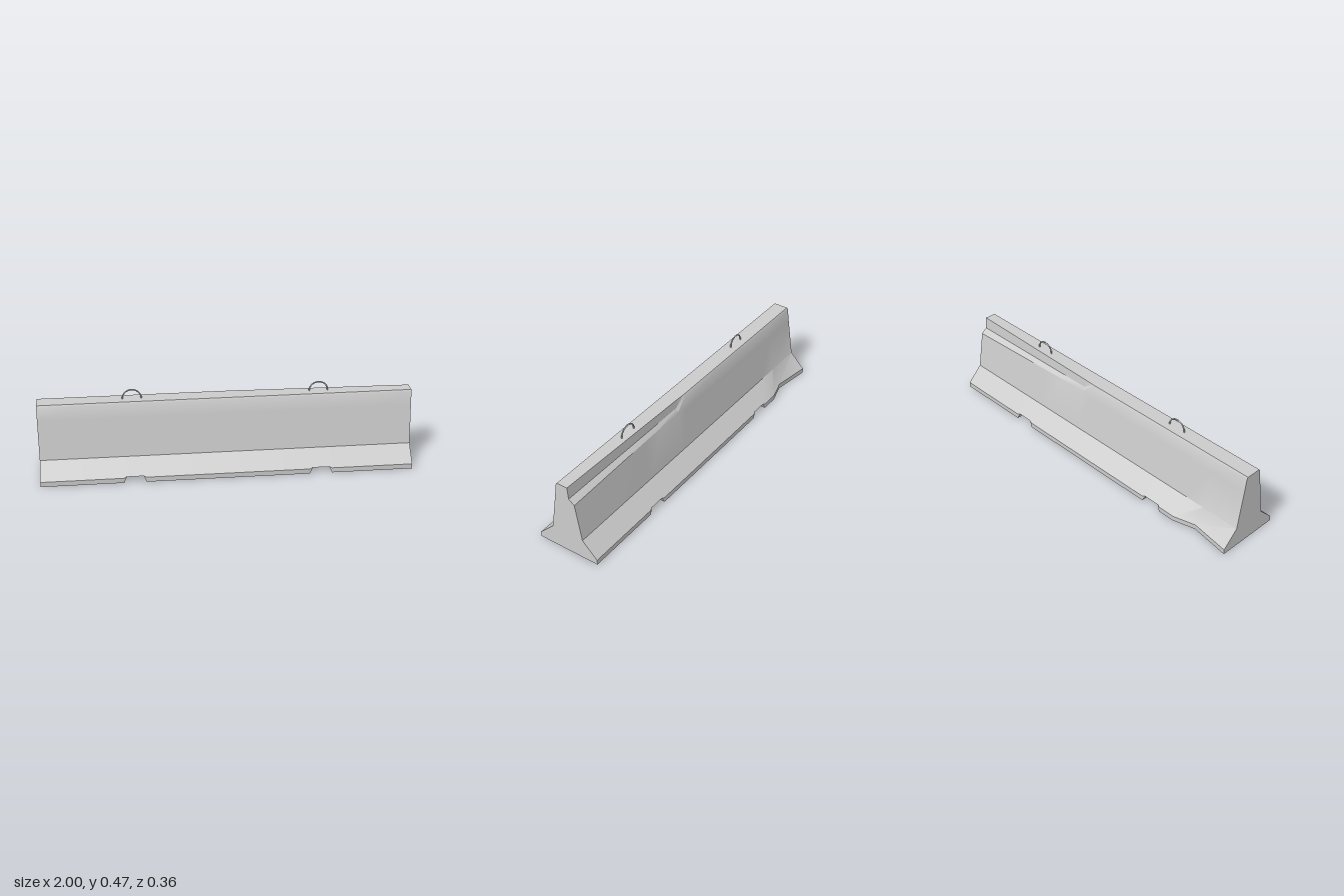
import * as THREE from 'three';
import { toCreasedNormals } from 'three/addons/utils/BufferGeometryUtils.js';

// Piecewise-linear lookup through [x, value] pairs
function along(pairs, x) {
  if (x <= pairs[0][0]) return pairs[0][1];
  for (let i = 1; i < pairs.length; i++) {
    const [x0, a] = pairs[i - 1], [x1, b] = pairs[i];
    if (x <= x1) return a + (b - a) * (x - x0) / (x1 - x0);
  }
  return pairs[pairs.length - 1][1];
}

// Underside height: two slots run across the base
const SLOT = 0.033;
const underside = x => along([[0.44, 0], [0.455, SLOT], [0.545, SLOT], [0.56, 0]], Math.abs(x));

// Broken foot on the back, and broken top edge on the back
const footZ = x => along([[-1, 0.178], [-0.78, 0.145], [-0.66, 0.178]], x);
const chip = (x, whole, start, end) => along([[0.07, whole], [0.14, start], [1, end]], x);

// Cross-section as [z, y]: up the front, then down the back
function section(x) {
  const y = underside(x);
  const cut = y > 0.028;
  const foot = z => cut ? [[z - 0.005, y], [z - 0.006, y + 0.001]] : [[z, y], [z, 0.028]];
  const front = [...foot(0.178), [0.093, 0.113], [0.0594, 0.325], [0.0485, 0.4], [0.042, 0.411]];
  const back = [
    ...foot(footZ(x)), [0.093, 0.113],
    [chip(x, 0.0594, 0.0565, 0.058), chip(x, 0.325, 0.345, 0.32)],
    [chip(x, 0.0485, 0.043, 0.026), chip(x, 0.4, 0.365, 0.345)],
    [chip(x, 0.042, 0.039, 0.02), 0.411],
  ].map(([z, h]) => [-z, h]);
  return [...front, ...back.reverse()];
}

function barrierGeometry() {
  const stations = [-1, -0.78, -0.66, -0.56, -0.545, -0.455, -0.44, -0.2, 0.07, 0.14, 0.3,
    0.44, 0.455, 0.545, 0.56, 0.8, 1];
  const rings = stations.map(x => section(x).map(([z, y]) => [x, y, z]));
  const n = rings[0].length;
  const pos = [];
  const quad = (a, b, c, d) => pos.push(...a, ...b, ...c, ...a, ...c, ...d);

  // Skin between neighbouring sections
  for (let i = 0; i < rings.length - 1; i++) {
    for (let j = 0; j < n; j++) {
      const k = (j + 1) % n;
      quad(rings[i][j], rings[i + 1][j], rings[i + 1][k], rings[i][k]);
    }
  }
  // End faces, as strips from front to back
  const first = rings[0], last = rings[rings.length - 1];
  for (let j = 0; j < n / 2 - 1; j++) {
    const k = n - 1 - j;
    quad(first[j], first[j + 1], first[k - 1], first[k]);
    quad(last[k], last[k - 1], last[j + 1], last[j]);
  }
  const geo = new THREE.BufferGeometry();
  geo.setAttribute('position', new THREE.Float32BufferAttribute(pos, 3));
  return toCreasedNormals(geo, 0.5);
}

export function createModel() {
  const model = new THREE.Group();
  model.name = 'concreteBarrier';
  const material = new THREE.MeshStandardMaterial({ color: 0xcccccc });

  const body = new THREE.Mesh(barrierGeometry(), material);
  body.name = 'barrierBody';
  model.add(body);

  // Lifting loops on top
  const loopGeo = new THREE.TorusGeometry(0.05, 0.004, 10, 24, Math.PI);
  for (const side of [-1, 1]) {
    const loop = new THREE.Mesh(loopGeo, material);
    loop.name = side > 0 ? 'liftingLoopLeft' : 'liftingLoopRight';
    loop.position.set(side * 0.5, 0.411, 0);
    model.add(loop);
  }
  return model;
}
